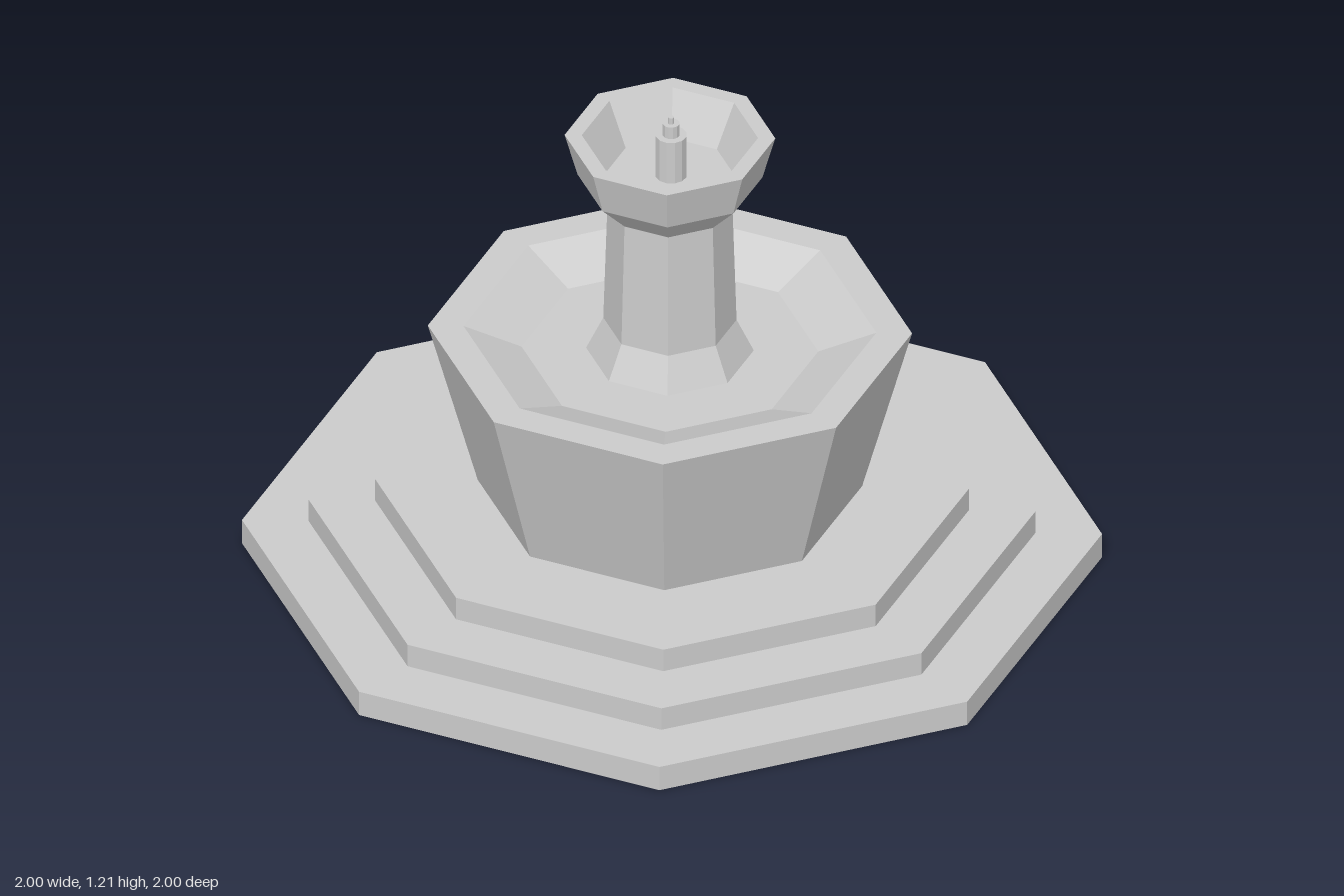
import * as THREE from 'three';

const material = new THREE.MeshStandardMaterial({ color: 0xcccccc, flatShading: true });

// Faceted solid of revolution; profile runs [radius, y] up the outside, then inwards
function turned(name, profile, sides = 8) {
  const points = profile.map(([r, y]) => new THREE.Vector2(r, y));
  const mesh = new THREE.Mesh(new THREE.LatheGeometry(points, sides), material);
  mesh.name = name;
  return mesh;
}

export function createModel() {
  const model = new THREE.Group();
  model.name = 'fountain';

  // Three octagonal steps
  const levels = [0, 0.065, 0.125, 0.185];
  [1, 0.845, 0.69].forEach((r, i) => {
    const [y0, y1] = [levels[i], levels[i + 1]];
    model.add(turned(`step${i + 1}`, [[0, y0], [r, y0], [r, y1], [0, y1]]));
  });

  // Everything above the steps sits slightly off centre
  const upper = new THREE.Group();
  upper.name = 'upperFountain';
  upper.position.x = -0.007;
  model.add(upper);

  // Large basin with a flat rim and a shallow sloping inside
  upper.add(turned('basin', [
    [0, 0.185], [0.447, 0.185], [0.563, 0.615], [0.48, 0.615], [0.345, 0.56], [0, 0.56],
  ]));

  // Column with a flared foot
  upper.add(turned('column', [[0.195, 0.56], [0.155, 0.645], [0.145, 0.975]]));

  // Small hollow bowl on top
  upper.add(turned('topBowl', [
    [0, 0.97], [0.145, 0.97], [0.215, 1.045], [0.245, 1.155],
    [0.205, 1.155], [0.15, 1.05], [0, 1.05],
  ]));

  // Stepped water nozzle
  const nozzle = turned('nozzle', [
    [0.037, 1.05], [0.037, 1.163], [0.02, 1.163], [0.02, 1.195],
    [0.007, 1.195], [0.007, 1.212], [0, 1.212],
  ], 12);
  nozzle.position.x = 0.004;
  upper.add(nozzle);

  return model;
}
